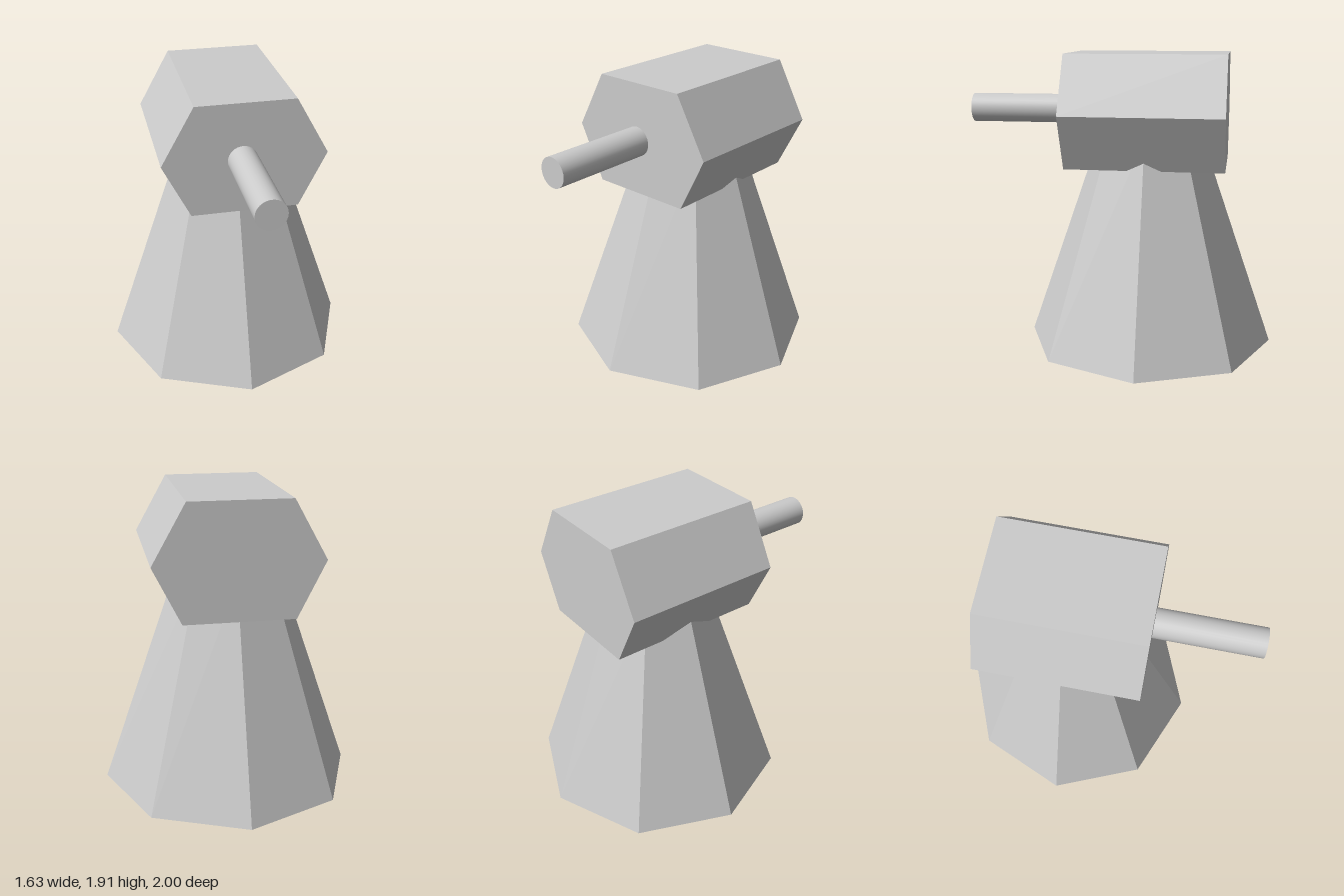
import * as THREE from 'three';

const flat = new THREE.MeshStandardMaterial({ color: 0xcccccc, flatShading: true });
const smooth = new THREE.MeshStandardMaterial({ color: 0xcccccc });

function addPart(group, name, geometry, material, x, y, z) {
  const mesh = new THREE.Mesh(geometry, material);
  mesh.name = name;
  mesh.position.set(x, y, z);
  group.add(mesh);
  return mesh;
}

export function createModel() {
  const group = new THREE.Group();
  group.name = 'turretTower';

  // Tapered eight-sided tower, its top sunk into the head
  const baseRadius = 0.815, taper = 0.346, height = 1.4;
  const tower = new THREE.CylinderGeometry(baseRadius - taper * height, baseRadius, height, 8);
  addPart(group, 'tower', tower, flat, 0, height / 2, -0.185);

  // Six-sided head, slightly off centre, extruded from back to front
  const back = -0.685, front = 0.325;
  const outline = [
    [-0.325, 1.2], [0.355, 1.2], [0.53, 1.55],
    [0.325, 1.915], [-0.295, 1.915], [-0.5, 1.55],
  ].map(([x, y]) => new THREE.Vector2(x, y));
  const head = new THREE.ExtrudeGeometry(new THREE.Shape(outline), {
    depth: front - back,
    bevelEnabled: false,
  });
  addPart(group, 'head', head, flat, 0, 0, back);

  // Round barrel, its rear end sunk into the head
  const rear = 0.25, muzzle = 1;
  const barrel = new THREE.CylinderGeometry(0.094, 0.094, muzzle - rear, 32);
  barrel.rotateX(Math.PI / 2);
  addPart(group, 'barrel', barrel, smooth, -0.002, 1.547, (rear + muzzle) / 2);

  return group;
}
